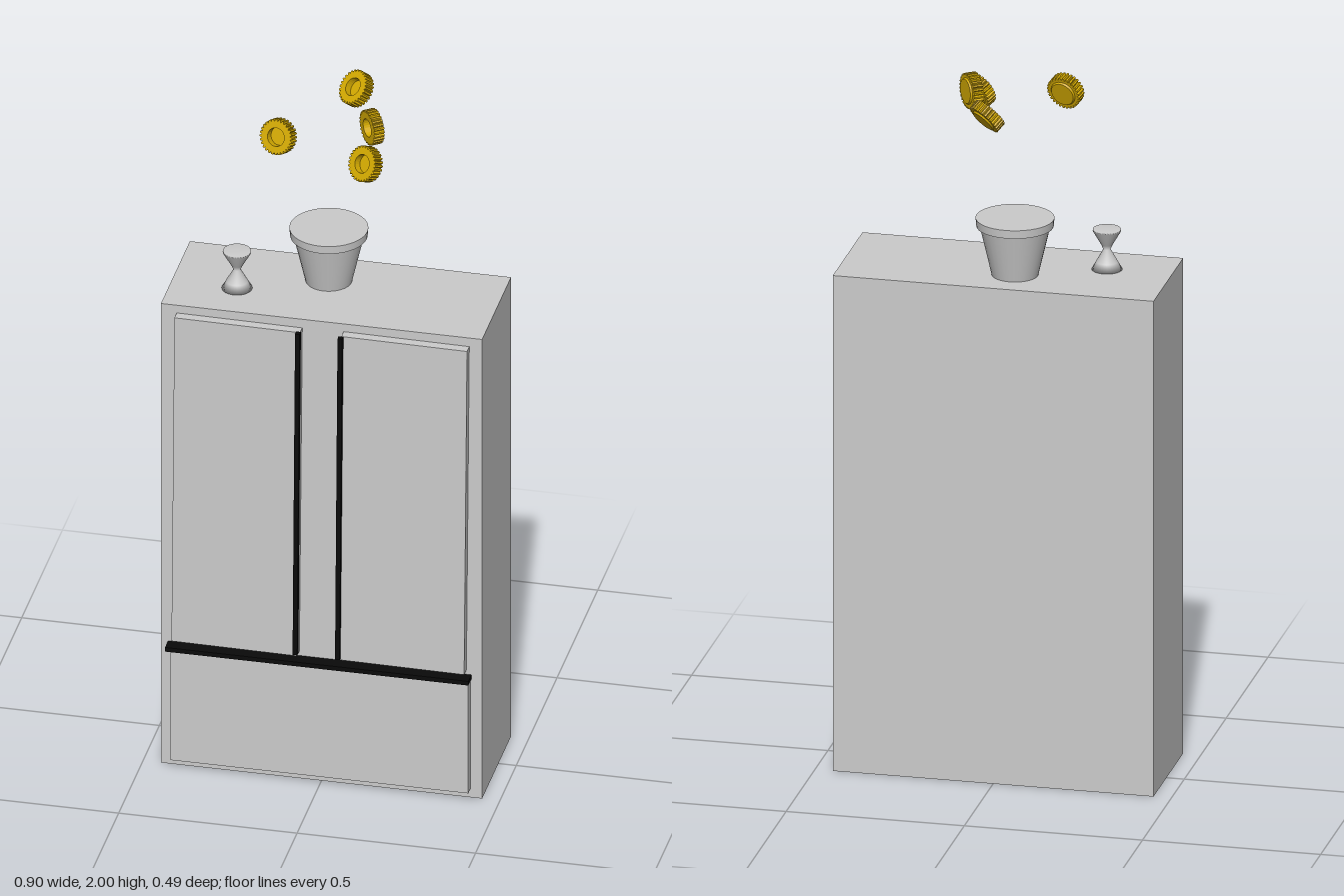
import * as THREE from 'three';

const grey = new THREE.MeshStandardMaterial({ color: 0xcccccc });
const greyOpen = new THREE.MeshStandardMaterial({ color: 0xcccccc, side: THREE.DoubleSide });
const black = new THREE.MeshStandardMaterial({ color: 0x0a0a0a });
const gold = new THREE.MeshStandardMaterial({ color: 0xd4aa00 });

function add(parent, name, geometry, material, x = 0, y = 0, z = 0) {
  const mesh = new THREE.Mesh(geometry, material);
  mesh.name = name;
  mesh.position.set(x, y, z);
  parent.add(mesh);
  return mesh;
}

const box = (w, h, d) => new THREE.BoxGeometry(w, h, d);

// Smooth turned wall from [radius, height] pairs
const turned = (pairs, sides = 32) =>
  new THREE.LatheGeometry(pairs.map(([r, y]) => new THREE.Vector2(r, y)), sides);

// Toothed ring outline for the ribbed caps
function ribbedShape(teeth, outer, inner) {
  const points = [];
  for (let i = 0; i < teeth; i++) {
    [[0, inner], [0.25, outer], [0.65, outer], [0.9, inner]].forEach(([f, r]) => {
      const a = ((i + f) / teeth) * Math.PI * 2;
      points.push(new THREE.Vector2(Math.cos(a) * r, Math.sin(a) * r));
    });
  }
  return new THREE.Shape(points);
}

// Cap: ribbed ring with a shallow recess at the front and a closed back
function createCap(position, axis) {
  const cap = new THREE.Group();
  cap.name = 'cap';
  const ring = ribbedShape(28, 0.05, 0.044);
  ring.holes.push(new THREE.Path().absarc(0, 0, 0.026, 0, Math.PI * 2, true));
  add(cap, 'capRibs', new THREE.ExtrudeGeometry(ring, { depth: 0.03, bevelEnabled: false, curveSegments: 12 }),
    gold, 0, 0, -0.014);
  const back = new THREE.CylinderGeometry(0.043, 0.034, 0.014, 28).rotateX(Math.PI / 2);
  add(cap, 'capBack', back, gold, 0, 0, -0.012);
  cap.position.set(...position);
  cap.quaternion.setFromUnitVectors(new THREE.Vector3(0, 0, 1), new THREE.Vector3(...axis).normalize());
  return cap;
}

export function createModel() {
  const model = new THREE.Group();
  model.name = 'fridgeWithFloatingCaps';

  // Cabinet and lower drawer
  add(model, 'cabinet', box(0.9, 1.44, 0.355), grey, 0, 0.72, 0.0225);
  add(model, 'drawer', box(0.835, 0.345, 0.04), grey, 0, 0.2, 0.208);
  add(model, 'drawerHandle', box(0.85, 0.013, 0.042), black, -0.005, 0.378, 0.217);

  // Slightly crooked doors with thin handles along their inner edges
  for (const side of [-1, 1]) {
    const door = add(model, side < 0 ? 'rightDoor' : 'leftDoor',
      box(0.352, 1.015, 0.04), grey, side * 0.234, 0.907, 0.208);
    door.rotation.z = -0.008;
    const handle = add(model, side < 0 ? 'rightDoorHandle' : 'leftDoorHandle',
      box(0.013, 1.01, 0.015), black, side < 0 ? -0.062 : 0.057, 0.911, 0.233);
    handle.rotation.set(0.005, 0, -0.008);
  }

  // Tapered pot with a wide rim and closed top
  const pot = new THREE.Group();
  pot.name = 'pot';
  pot.position.set(-0.032, 1.44, -0.03);
  add(pot, 'potWall', new THREE.CylinderGeometry(0.097, 0.064, 0.142, 32), grey, 0, 0.071, 0);
  add(pot, 'potRim', new THREE.CylinderGeometry(0.108, 0.106, 0.024, 40), grey, 0, 0.153, 0);
  model.add(pot);

  // Small hourglass shape
  add(model, 'hourglass', turned([[0, 0], [0.042, 0], [0.03, 0.022], [0.01, 0.058],
    [0.016, 0.072], [0.039, 0.112], [0.038, 0.117], [0, 0.117]]), greyOpen, -0.267, 1.44, 0.068);

  // Floating ribbed caps: [centre, facing direction]
  [
    [[0.008, 1.954, -0.195], [-0.5, 0.6, 0.55]],
    [[0.097, 1.953, 0], [-0.79, 0, 0.61]],
    [[-0.146, 1.941, 0.088], [-0.28, 0.3, 0.95]],
    [[0.107, 1.906, 0.125], [-0.5, 0.4, 0.77]],
  ].forEach(([position, axis]) => model.add(createCap(position, axis)));

  return model;
}
